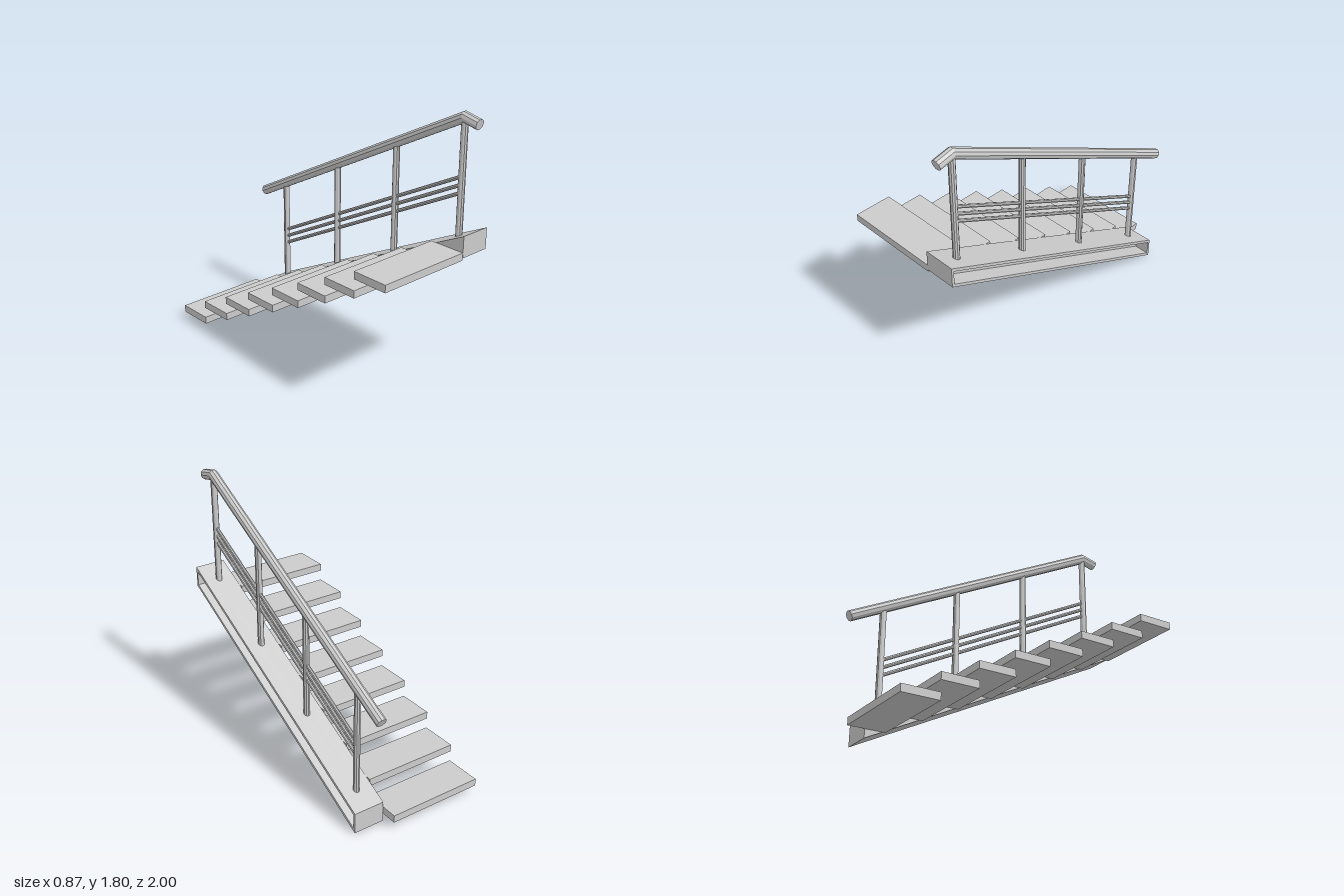
import * as THREE from 'three';

const RAIL_X = 0.332;
const material = new THREE.MeshStandardMaterial({ color: 0xcccccc, flatShading: true, side: THREE.DoubleSide });

function addMesh(parent, geometry, name) {
  const mesh = new THREE.Mesh(geometry, material);
  mesh.name = name;
  parent.add(mesh);
  return mesh;
}

// Straight round bar between two [z, y] points in the railing plane
function addBar(parent, a, b, radius, sides, name) {
  const from = new THREE.Vector3(RAIL_X, a[1], a[0]);
  const to = new THREE.Vector3(RAIL_X, b[1], b[0]);
  const bar = addMesh(parent, new THREE.CylinderGeometry(radius, radius, from.distanceTo(to), sides), name);
  bar.position.copy(from).add(to).multiplyScalar(0.5);
  bar.quaternion.setFromUnitVectors(new THREE.Vector3(0, 1, 0), to.sub(from).normalize());
}

// Round rail along [z, y] points, mitred at each bend and capped at both ends
function mitredRail(points, radius, sides) {
  const path = points.map(([z, y]) => new THREE.Vector2(z, y));
  const position = [], index = [];
  path.forEach((p, i) => {
    const before = path[Math.max(i - 1, 0)], after = path[Math.min(i + 1, path.length - 1)];
    const dIn = (i ? p.clone().sub(before) : after.clone().sub(p)).normalize();
    const dOut = (i < path.length - 1 ? after.clone().sub(p) : dIn.clone()).normalize();
    const t = dIn.clone().add(dOut).normalize();
    const stretch = radius / t.dot(dIn);
    for (let k = 0; k < sides; k++) {
      const angle = (k + 0.5) / sides * Math.PI * 2;
      const s = Math.cos(angle) * stretch;
      position.push(RAIL_X + Math.sin(angle) * radius, p.y - t.x * s, p.x + t.y * s);
      const n = (k + 1) % sides, a = i * sides;
      if (i < path.length - 1) index.push(a + k, a + sides + k, a + n, a + n, a + sides + k, a + sides + n);
    }
  });
  const last = (path.length - 1) * sides;
  for (let k = 1; k < sides - 1; k++) index.push(0, k, k + 1, last, last + k + 1, last + k);
  const geometry = new THREE.BufferGeometry();
  geometry.setAttribute('position', new THREE.Float32BufferAttribute(position, 3));
  geometry.setIndex(index);
  geometry.computeVertexNormals();
  return geometry;
}

// Height of the stringer's underside at a given z
const underside = z => (z + 0.88) * 0.5;

// Sloped outline in the z-y plane, with vertical ends
function slopedOutline(z0, z1, low, high) {
  return [[z0, low], [z1, low], [z1, high], [z0, high]]
    .map(([z, lift]) => new THREE.Vector2(z, underside(z) + lift));
}

// Extrudes a z-y shape from x0 to x1
function extrudeAcross(shape, x0, x1) {
  return new THREE.ExtrudeGeometry(shape, { depth: x1 - x0, bevelEnabled: false })
    .rotateY(-Math.PI / 2).translate(x1, 0, 0);
}

export function createModel() {
  const model = new THREE.Group();
  model.name = 'staircase';

  // Stringer: solid web with a raised rim around the recessed outer side
  const stringer = new THREE.Group();
  stringer.name = 'stringer';
  model.add(stringer);
  const outline = slopedOutline(-0.88, 1, 0, 0.142);
  addMesh(stringer, extrudeAcross(new THREE.Shape(outline), 0.222, 0.33), 'stringerWeb');
  const rim = new THREE.Shape(outline);
  rim.holes.push(new THREE.Path(slopedOutline(-0.863, 0.983, 0.022, 0.12)));
  addMesh(stringer, extrudeAcross(rim, 0.33, 0.435), 'stringerRim');

  // Cantilevered treads
  const treads = new THREE.Group();
  treads.name = 'treads';
  model.add(treads);
  for (let i = 0; i < 8; i++) {
    const tread = addMesh(treads, new THREE.BoxGeometry(0.66, 0.05, 0.252), 'tread');
    tread.position.set(-0.107, 0.083 + i * 0.1238, -0.867 + i * 0.2485);
  }

  // Railing: handrail, posts and three sloping bars
  const railing = new THREE.Group();
  railing.name = 'railing';
  model.add(railing);
  const top = [0.87, 1.766], bottom = [-0.983, 0.81];
  const slope = (top[1] - bottom[1]) / (top[0] - bottom[0]);
  addMesh(railing, mitredRail([[0.98, 1.742], top, bottom], 0.035, 10), 'handrail');
  for (let i = 0; i < 4; i++) {
    const z = 0.87 - i * 0.54;
    addBar(railing, [z, underside(z) + 0.125], [z, top[1] + (z - top[0]) * slope], 0.022, 10, 'post');
  }
  for (const y of [1.29, 1.342, 1.394]) {
    addBar(railing, [0.87, y + 0.005], [-0.75, y + 0.005 - 1.62 * slope], 0.012, 8, 'railingBar');
  }
  return model;
}
